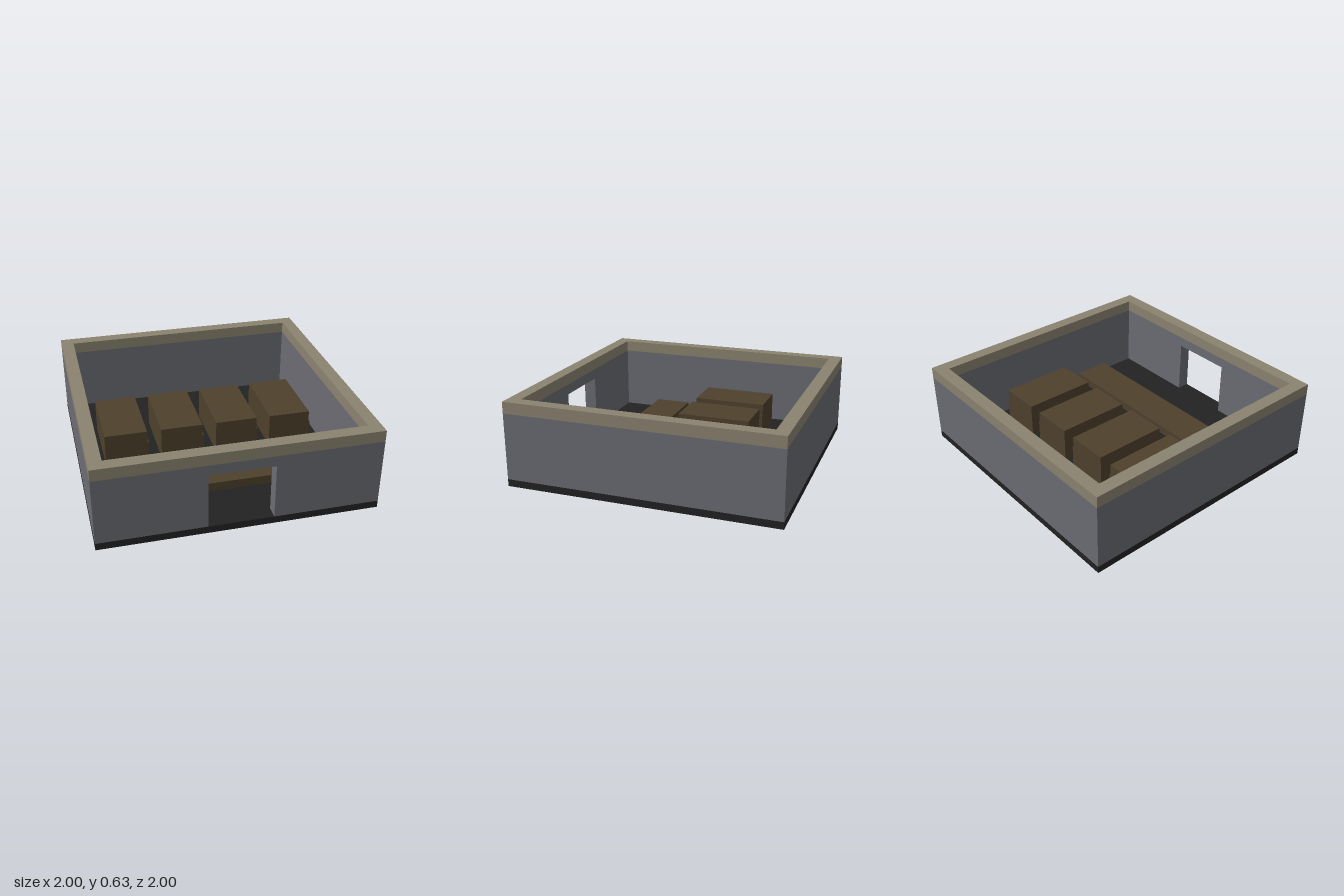
import * as THREE from 'three';

const FLOOR = 0.053, WALL_TOP = 0.545, TOP = 0.63, INNER = 0.905;

function material(name, color) {
  const m = new THREE.MeshStandardMaterial({ color });
  m.name = name;
  return m;
}

// Box given by its limits on each axis
function block(name, mat, [x0, x1], [y0, y1], [z0, z1]) {
  const mesh = new THREE.Mesh(new THREE.BoxGeometry(x1 - x0, y1 - y0, z1 - z0), mat);
  mesh.position.set((x0 + x1) / 2, (y0 + y1) / 2, (z0 + z1) / 2);
  mesh.name = name;
  return mesh;
}

const polygon = (points) => points.map(([x, y]) => new THREE.Vector2(x, y));
const square = (r) => polygon([[-r, -r], [r, -r], [r, r], [-r, r]]);

export function createModel() {
  const stone = material('grey stone', 0x6b6c73);
  const trim = material('tan trim', 0x8b8370);
  const dark = material('dark floor', 0x222222);
  const wood = material('brown wood', 0x4e402c);

  const model = new THREE.Group();
  model.name = 'room';

  // Floor slab
  model.add(block('floor', dark, [-1, 1], [0, FLOOR], [-1, 1]));

  // Back and side walls
  const height = [FLOOR, WALL_TOP];
  model.add(block('backWall', stone, [-1, 1], height, [-1, -INNER]));
  model.add(block('rightWall', stone, [-1, -INNER], height, [-INNER, INNER]));
  model.add(block('leftWall', stone, [INNER, 1], height, [-INNER, INNER]));

  // Front wall with the doorway cut out
  const door = 0.233, doorTop = 0.467;
  const outline = new THREE.Shape(polygon([
    [-1, FLOOR], [-door, FLOOR], [-door, doorTop], [door, doorTop],
    [door, FLOOR], [1, FLOOR], [1, WALL_TOP], [-1, WALL_TOP],
  ]));
  const frontWall = new THREE.Mesh(
    new THREE.ExtrudeGeometry(outline, { depth: 1 - INNER, bevelEnabled: false }), stone);
  frontWall.position.z = INNER;
  frontWall.name = 'frontWall';
  model.add(frontWall);

  // Coping around the top of the walls
  const ring = new THREE.Shape(square(1));
  ring.holes.push(new THREE.Path(square(INNER)));
  const coping = new THREE.Mesh(
    new THREE.ExtrudeGeometry(ring, { depth: TOP - WALL_TOP, bevelEnabled: false }), trim);
  coping.rotation.x = -Math.PI / 2;
  coping.position.y = WALL_TOP;
  coping.name = 'coping';
  model.add(coping);

  // Low platform across the room
  model.add(block('platform', wood, [-0.897, 0.897], [FLOOR, 0.12], [0.32, 0.605]));

  // Row of four crates, each with a slightly wider base
  for (let i = 0; i < 4; i++) {
    const x = -0.804 + i * 0.428;
    const crate = new THREE.Group();
    crate.name = `crate${i + 1}`;
    crate.add(block('crateBase', wood, [x, x + 0.331], [FLOOR, 0.22], [-0.467, 0.1]));
    crate.add(block('crateTop', wood, [x, x + 0.321], [0.22, 0.31], [-0.467, 0.1]));
    model.add(crate);
  }

  return model;
}
